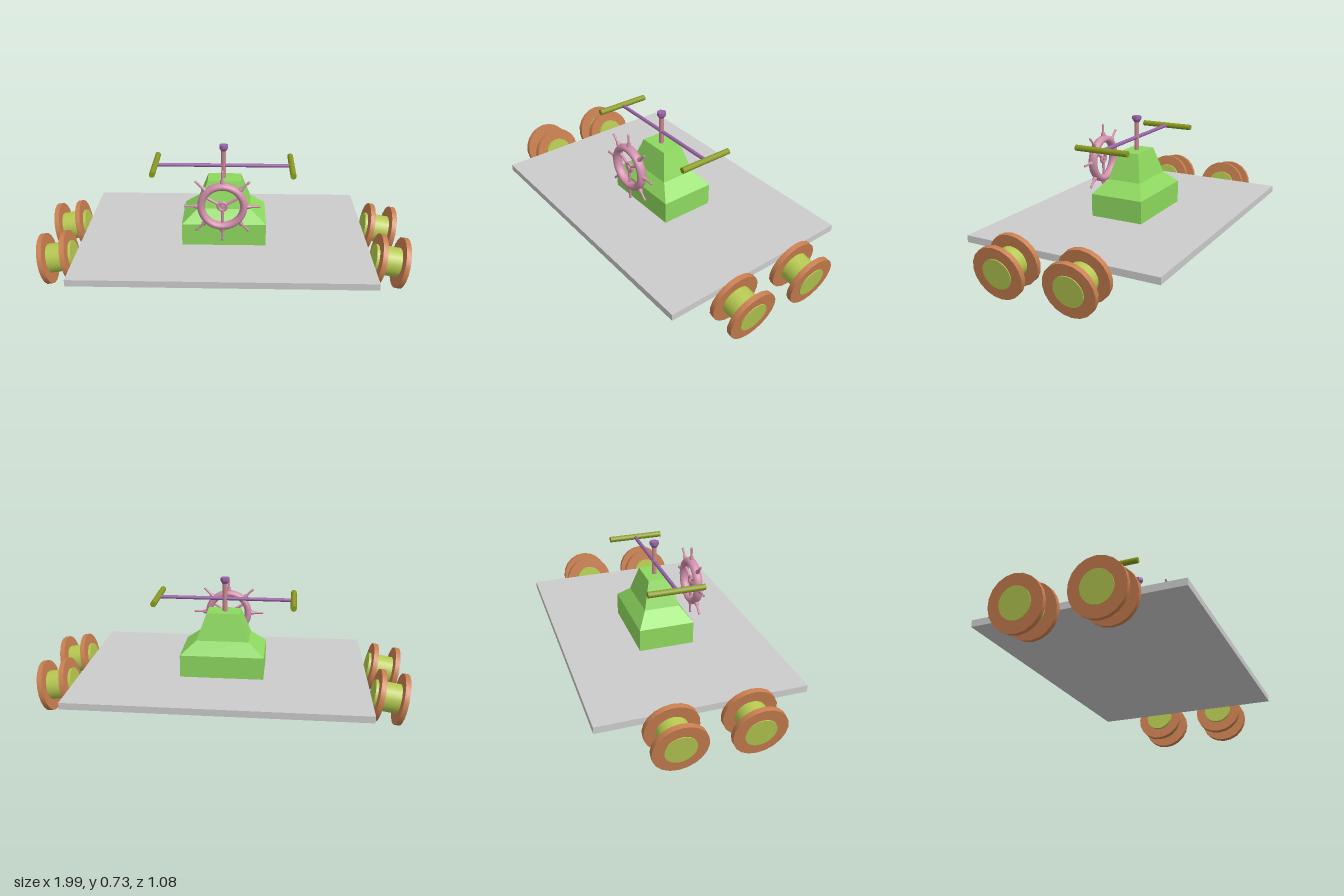
import * as THREE from 'three';
import { toCreasedNormals } from 'three/addons/utils/BufferGeometryUtils.js';

const mat = (color) => new THREE.MeshStandardMaterial({ color });
const GREY = mat(0xcccccc), GREEN = mat(0x8ed95f), ORANGE = mat(0xc97f50), LIME = mat(0xb5c850);
const OLIVE = mat(0x8a9a20), PINK = mat(0xd08fab), ROSE = mat(0xc98a92), PURPLE = mat(0x9a66a8);

function add(parent, name, geometry, material, x = 0, y = 0, z = 0) {
  const mesh = new THREE.Mesh(geometry, material);
  mesh.name = name;
  mesh.position.set(x, y, z);
  parent.add(mesh);
  return mesh;
}

// Stepped pedestal: a box whose rows follow a tapering profile
function pedestalGeometry() {
  const rows = [ // y, half width, half depth
    [0.207, 0.227, 0.15], [0.33, 0.227, 0.15], [0.4, 0.143, 0.096], [0.545, 0.09, 0.058],
  ];
  const box = new THREE.BoxGeometry(2, 3, 2, 1, 3, 1);
  const p = box.attributes.position;
  for (let i = 0; i < p.count; i++) {
    const [y, w, d] = rows[Math.round(p.getY(i) + 1.5)];
    p.setXYZ(i, p.getX(i) * w, y, p.getZ(i) * d);
  }
  const flat = box.toNonIndexed();
  flat.computeVertexNormals();
  return flat;
}

// Spool wheel along x, outer side towards +x
function spoolWheel() {
  const wheel = new THREE.Group();
  const disc = toCreasedNormals(new THREE.CylinderGeometry(0.139, 0.139, 0.027, 20).rotateZ(-Math.PI / 2), 0.5);
  add(wheel, 'outerRim', disc, ORANGE, 0.062);
  add(wheel, 'innerRim', disc, ORANGE, -0.062);
  add(wheel, 'barrel', new THREE.CylinderGeometry(0.08, 0.08, 0.17, 24).rotateZ(-Math.PI / 2), LIME, -0.005);
  return wheel;
}

function steeringWheel() {
  const wheel = new THREE.Group();
  wheel.name = 'steeringWheel';
  add(wheel, 'ring', new THREE.TorusGeometry(0.112, 0.02, 12, 32).scale(1, 1, 1.3), PINK);
  add(wheel, 'hubRing', new THREE.TorusGeometry(0.022, 0.009, 8, 20), PINK);
  add(wheel, 'hub', new THREE.CylinderGeometry(0.012, 0.012, 0.024, 12).rotateX(Math.PI / 2), PINK);
  // Inner spokes in a Y
  for (let i = 0; i < 3; i++) {
    const spoke = new THREE.CylinderGeometry(0.008, 0.008, 0.09, 8).translate(0, -0.066, 0);
    add(wheel, 'spoke', spoke, PINK).rotation.z = i * Math.PI * 2 / 3;
  }
  // Turned grips around the rim
  const profile = [[0.012, 0.125], [0.012, 0.143], [0.006, 0.152], [0.006, 0.19], [0.007, 0.197], [0, 0.201]];
  const grip = new THREE.LatheGeometry(profile.map(([r, y]) => new THREE.Vector2(r, y)), 10);
  for (let i = 0; i < 8; i++) add(wheel, 'grip', grip, PINK).rotation.z = i * Math.PI / 4;
  return wheel;
}

export function createModel() {
  const model = new THREE.Group();
  add(model, 'platform', new THREE.BoxGeometry(1.57, 0.036, 1.083), GREY, 0, 0.189, 0);
  add(model, 'pedestal', pedestalGeometry(), GREEN, 0.002, 0, 0);

  // Post with flared knob
  add(model, 'post', new THREE.CylinderGeometry(0.013, 0.013, 0.165, 12), ROSE, -0.003, 0.622, 0);
  const knob = [[0, 0.698], [0.014, 0.698], [0.025, 0.715], [0.025, 0.732], [0, 0.732]];
  const knobGeometry = new THREE.LatheGeometry(knob.map(([r, y]) => new THREE.Vector2(r, y)), 8, Math.PI / 8);
  add(model, 'knob', toCreasedNormals(knobGeometry, 0.4), PURPLE, -0.003, 0, 0);

  // Crossbar with a grip at each end
  add(model, 'crossbar', new THREE.CylinderGeometry(0.01, 0.01, 0.74, 12).rotateZ(Math.PI / 2), PURPLE, -0.004, 0.615, 0);
  for (const s of [-1, 1]) {
    const bar = new THREE.CylinderGeometry(0.016, 0.016, 0.302, 12).rotateX(Math.PI / 2);
    add(model, 'crossbarHandle', bar, OLIVE, s * 0.37 - 0.005, 0.615, s * 0.003);
  }

  const helm = steeringWheel();
  helm.position.set(-0.004, 0.469, 0.215);
  model.add(helm);

  // Two leaning spool wheels on each side
  for (const s of [-1, 1]) {
    for (const [name, z] of [['frontWheel', 0.206], ['backWheel', -0.186]]) {
      const wheel = spoolWheel();
      wheel.name = name;
      wheel.position.set(s * 0.896, 0.151, z);
      wheel.rotation.set(0, s < 0 ? Math.PI : 0, -0.17);
      model.add(wheel);
    }
  }
  return model;
}
